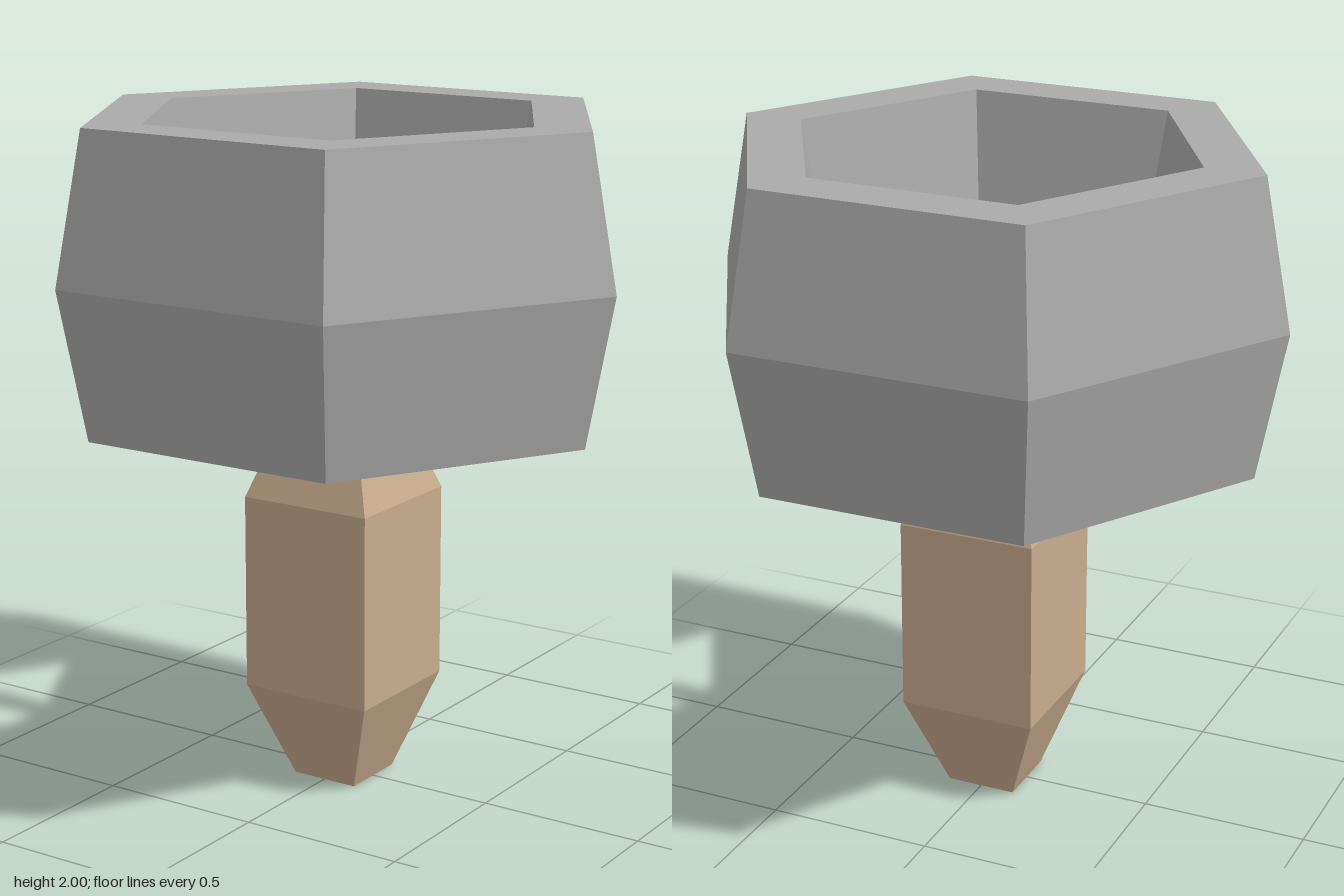
import * as THREE from 'three';

export function createModel() {
  const model = new THREE.Group();
  model.name = 'hexHeadOnHandle';

  const stone = new THREE.MeshStandardMaterial({ color: 0xababab, flatShading: true });
  stone.name = 'stone grey';
  const wood = new THREE.MeshStandardMaterial({ color: 0xc8ad8d, flatShading: true });
  wood.name = 'light wood';

  const add = (name, geometry, material) => {
    const mesh = new THREE.Mesh(geometry, material);
    mesh.name = name;
    model.add(mesh);
    return mesh;
  };
  // Faceted solid of revolution from [radius, y] pairs
  const facetted = (profile, sides, start) =>
    new THREE.LatheGeometry(profile.map(([r, y]) => new THREE.Vector2(r, y)), sides, start);

  // Hollow six-sided ring, bulging both outward and inward at mid height
  add('ring', facetted([
    [0.8, 1.12], [0.885, 1.56], [0.8, 2],
    [0.62, 2], [0.53, 1.56], [0.62, 1.12], [0.8, 1.12],
  ], 6, Math.PI / 2), stone);

  // Square handle, tapered at both ends
  const d = Math.SQRT2;
  add('handle', facetted([
    [0, 0], [0.106 * d, 0], [0.21 * d, 0.293], [0.21 * d, 0.877], [0.106 * d, 1.17], [0, 1.17],
  ], 4, Math.PI / 4), wood);

  // Crossed spokes joining the handle to the ring walls
  add('spokeAcross', new THREE.BoxGeometry(1.28, 0.09, 0.09), wood).position.y = 1.213;
  add('spokeDeep', new THREE.BoxGeometry(0.09, 0.09, 1.12), wood).position.y = 1.213;

  return model;
}
